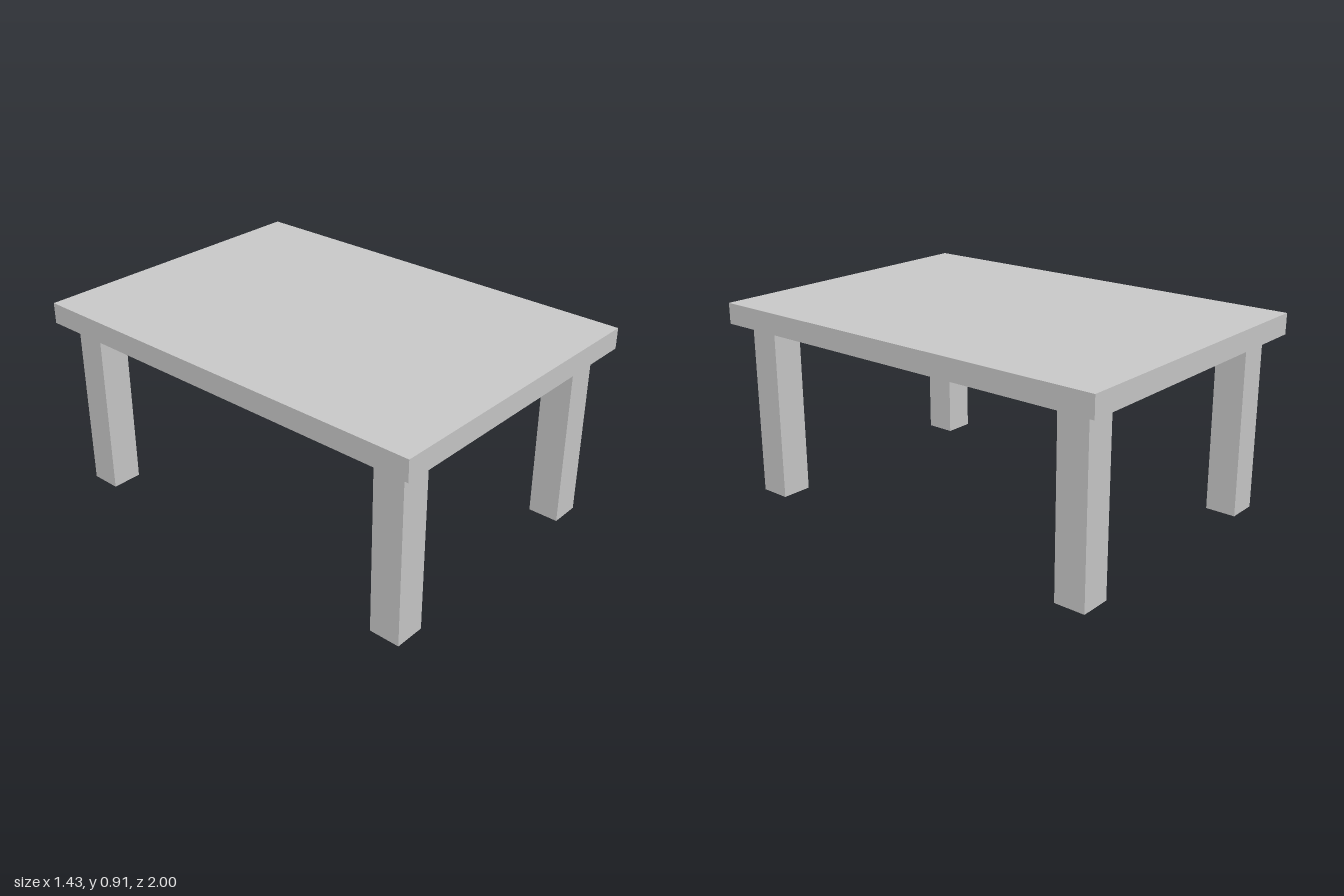
import * as THREE from 'three';

export function createModel() {
  const table = new THREE.Group();
  table.name = 'table';
  const material = new THREE.MeshStandardMaterial({ color: 0xcccccc, flatShading: true });

  const width = 1.428, depth = 2, height = 0.908, thickness = 0.096;
  const legSize = 0.143, inset = 0.071;
  const legHeight = height - thickness;

  // Tabletop slab
  const top = new THREE.Mesh(new THREE.BoxGeometry(width, thickness, depth), material);
  top.name = 'tabletop';
  top.position.y = height - thickness / 2;
  table.add(top);

  // Four square legs, set in from the corners
  const legGeometry = new THREE.BoxGeometry(legSize, legHeight, legSize);
  const legX = width / 2 - inset - legSize / 2;
  const legZ = depth / 2 - inset - legSize / 2;
  for (const [endName, sz] of [['front', 1], ['back', -1]]) {
    for (const [sideName, sx] of [['Left', 1], ['Right', -1]]) {
      const leg = new THREE.Mesh(legGeometry, material);
      leg.name = `${endName}${sideName}Leg`;
      leg.position.set(sx * legX, legHeight / 2, sz * legZ);
      table.add(leg);
    }
  }

  return table;
}
